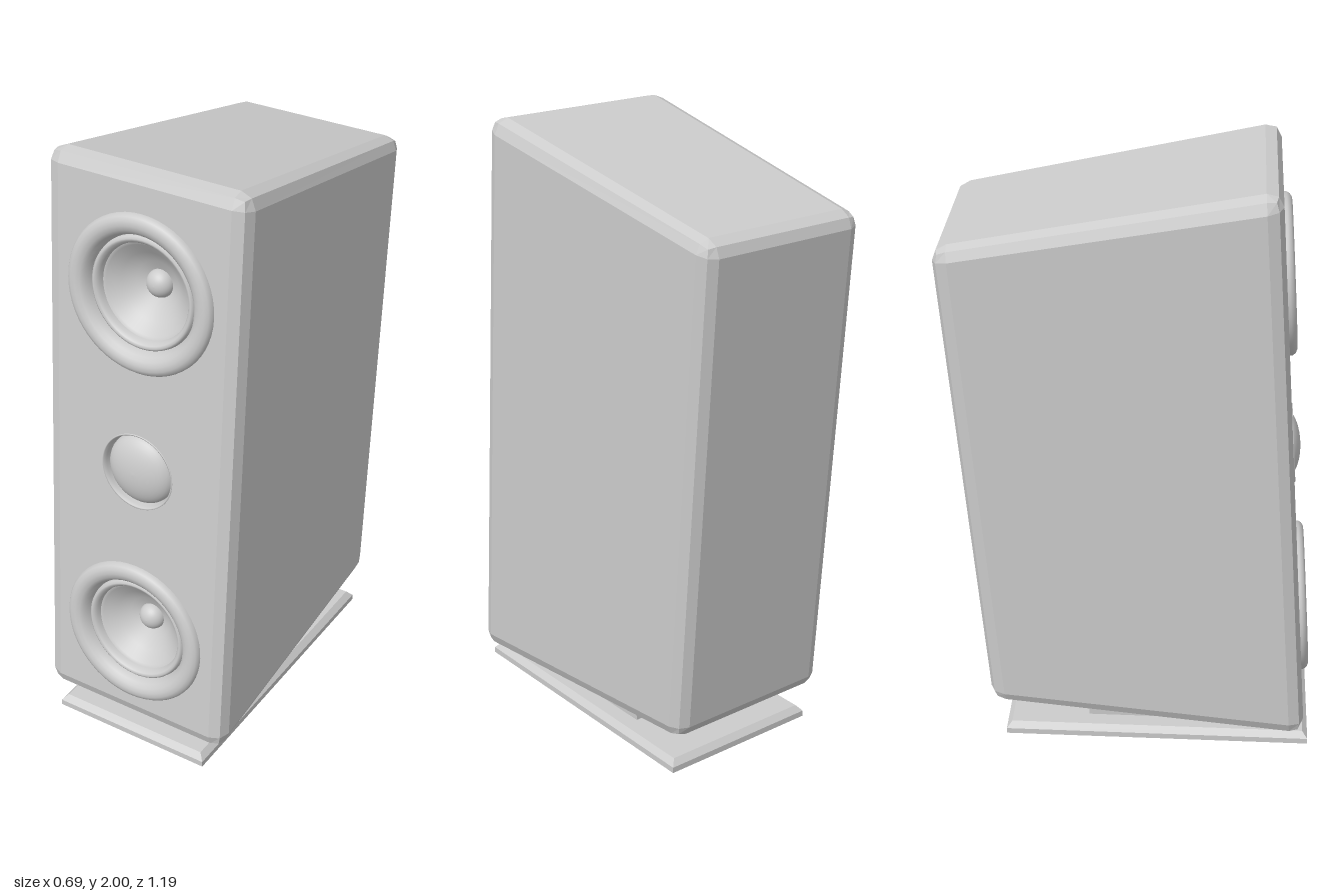
import * as THREE from 'three';
import { RoundedBoxGeometry } from 'three/addons/geometries/RoundedBoxGeometry.js';

const W = 0.694, H = 1.945, D = 1.06, BEVEL = 0.05;
const BACK_WIDTH = 0.87; // back width as a share of the front width
const LEAN = -0.0743;

// Side-profile corners of the cabinet as [z, y]
const FRONT_BOTTOM = [0.585, 0.07], FRONT_TOP = [0.4395, 2.009];
const BACK_BOTTOM = [-0.476, 0.141], BACK_TOP = [-0.597, 1.795];

const WOOFERS = { upper: 0.582, lower: -0.622 };
const TWEETER_Y = -0.02;

const grey = () => new THREE.MeshStandardMaterial({ color: 0xcccccc });
const lerp = THREE.MathUtils.lerp;

function part(name, geometry, material = grey()) {
  const mesh = new THREE.Mesh(geometry, material);
  mesh.name = name;
  return mesh;
}

// Bends a plain box into the leaning, tapering cabinet shape
function toCabinetShape(geometry) {
  const p = geometry.attributes.position;
  for (let i = 0; i < p.count; i++) {
    const up = p.getY(i) / H + 0.5, fwd = p.getZ(i) / D + 0.5;
    const at = (k) => lerp(
      lerp(BACK_BOTTOM[k], BACK_TOP[k], up),
      lerp(FRONT_BOTTOM[k], FRONT_TOP[k], up), fwd);
    p.setXYZ(i, p.getX(i) * lerp(BACK_WIDTH, 1, fwd), at(1), at(0));
  }
  geometry.computeVertexNormals();
  return geometry;
}

// Bevelled box without its flat front panel
function cabinetShell() {
  const box = new RoundedBoxGeometry(W, H, D, 1, BEVEL);
  const p = box.attributes.position;
  const kept = [];
  for (let i = 0; i < p.count; i += 3) {
    const isFront = [0, 1, 2].every((k) => p.getZ(i + k) > D / 2 - 1e-4);
    if (isFront) continue;
    for (let k = 0; k < 3; k++) kept.push(p.getX(i + k), p.getY(i + k), p.getZ(i + k));
  }
  const shell = new THREE.BufferGeometry();
  shell.setAttribute('position', new THREE.Float32BufferAttribute(kept, 3));
  return toCabinetShape(shell);
}

// Front panel with round openings for the drivers
function frontPanel() {
  const x = W / 2 - BEVEL, y = H / 2 - BEVEL;
  const shape = new THREE.Shape([
    new THREE.Vector2(-x, -y), new THREE.Vector2(x, -y),
    new THREE.Vector2(x, y), new THREE.Vector2(-x, y),
  ]);
  const openings = [[WOOFERS.upper, 0.21], [TWEETER_Y, 0.125], [WOOFERS.lower, 0.21]];
  for (const [cy, r] of openings) {
    shape.holes.push(new THREE.Path().absarc(0, cy, r, 0, Math.PI * 2, true));
  }
  return toCabinetShape(new THREE.ShapeGeometry(shape, 32).translate(0, 0, D / 2));
}

// Turned part facing +z; points are [radius, height], from the rim inward
function turned(name, points) {
  const profile = points.map(([r, h]) => new THREE.Vector2(r, h));
  const geometry = new THREE.LatheGeometry(profile, 56).rotateX(Math.PI / 2);
  return part(name, geometry, new THREE.MeshStandardMaterial({ color: 0xcccccc, side: THREE.DoubleSide }));
}

// Elliptical dome profile
function dome(radius, base, height) {
  return Array.from({ length: 11 }, (_, i) => {
    const a = (i / 10) * Math.PI / 2;
    return [i === 10 ? 0 : radius * Math.cos(a), base + height * Math.sin(a)];
  });
}

function woofer(name) {
  const group = new THREE.Group();
  group.name = name;
  group.add(
    turned('wooferRim', [[0.255, -0.005], [0.254, 0.008], [0.247, 0.018], [0.235, 0.024],
      [0.22, 0.025], [0.205, 0.02], [0.193, 0.01], [0.185, -0.008], [0.182, -0.02]]),
    turned('wooferSurround', [[0.182, -0.02], [0.179, -0.008], [0.172, -0.003],
      [0.164, -0.006], [0.157, -0.016], [0.154, -0.03]]),
    turned('wooferCone', [[0.154, -0.03], [0.145, -0.034], [0.11, -0.066], [0.075, -0.092], [0.035, -0.11]]),
    turned('dustCap', dome(0.045, -0.108, 0.04)),
  );
  return group;
}

function tweeter() {
  const group = new THREE.Group();
  group.name = 'tweeter';
  group.add(
    turned('tweeterRim', [[0.13, -0.001], [0.129, 0.003], [0.125, 0.002], [0.121, -0.01], [0.118, -0.032]]),
    turned('tweeterDome', dome(0.118, -0.032, 0.056)),
  );
  return group;
}

// Floor plate with a chamfered upper edge
function basePlate() {
  const geometry = new THREE.BoxGeometry(0.57, 0.04, 1.03, 1, 2, 1);
  const p = geometry.attributes.position;
  for (let i = 0; i < p.count; i++) {
    if (p.getY(i) < 0.01) continue;
    p.setX(i, p.getX(i) - Math.sign(p.getX(i)) * 0.018);
    p.setZ(i, p.getZ(i) - Math.sign(p.getZ(i)) * 0.018);
  }
  const flat = geometry.toNonIndexed();
  flat.computeVertexNormals();
  return flat.translate(0, 0.02, 0.085);
}

export function createModel() {
  const model = new THREE.Group();
  model.name = 'floorSpeaker';

  model.add(part('cabinet', cabinetShell()), part('frontPanel', frontPanel()));

  // Drivers sit in the plane of the leaning front panel
  const drivers = new THREE.Group();
  drivers.name = 'drivers';
  drivers.position.set(0, (FRONT_BOTTOM[1] + FRONT_TOP[1]) / 2, (FRONT_BOTTOM[0] + FRONT_TOP[0]) / 2);
  drivers.rotation.x = LEAN;
  for (const [place, y] of Object.entries(WOOFERS)) {
    const unit = woofer(`${place}Woofer`);
    unit.position.y = y;
    drivers.add(unit);
  }
  const high = tweeter();
  high.position.y = TWEETER_Y;
  drivers.add(high);
  model.add(drivers);

  // Stand
  model.add(part('basePlate', basePlate()));
  const neck = part('neck', new THREE.BoxGeometry(0.43, 0.1, 0.51));
  neck.position.set(0, 0.085, 0.105);
  model.add(neck);

  return model;
}
